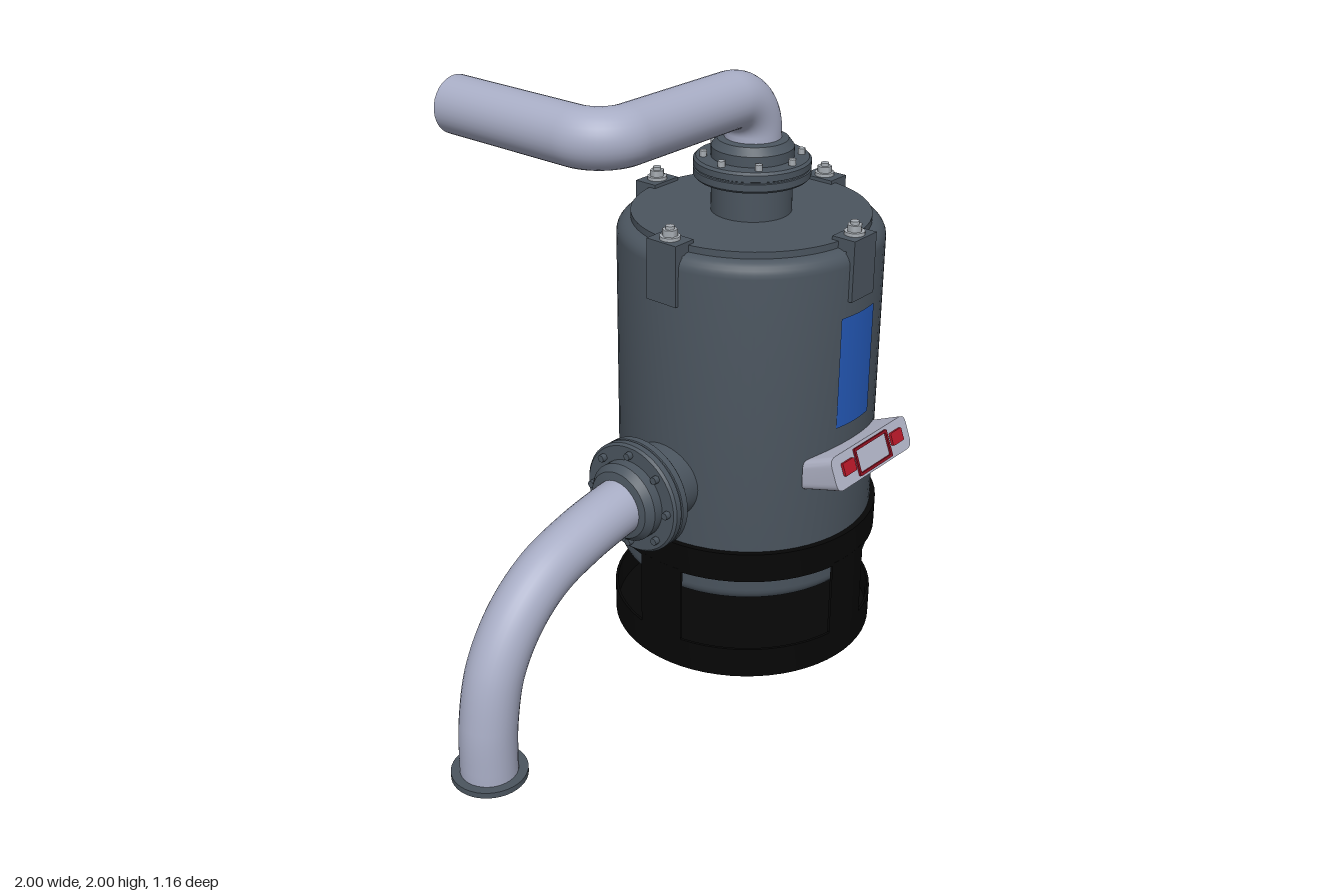
import * as THREE from 'three';
import { toCreasedNormals } from 'three/addons/utils/BufferGeometryUtils.js';

const V = (x, y, z) => new THREE.Vector3(x, y, z);
const CX = 0.387, CZ = 0.035; // tank axis

export function createModel() {
  const mat = (name, color, side = THREE.FrontSide) => {
    const m = new THREE.MeshStandardMaterial({ color, side });
    m.name = name;
    return m;
  };
  const steel = mat('slate steel', 0x4b555f);
  const pipeMat = mat('pale pipe', 0xa8adc5, THREE.DoubleSide);
  const shell = mat('pale casing', 0xb2b5c8);
  const black = mat('black', 0x060606, THREE.DoubleSide);
  const blue = mat('blue', 0x2459b8, THREE.DoubleSide);
  const red = mat('red', 0xb51828);
  const darkRed = mat('dark red', 0x8e1020);
  const boltMat = mat('bolt metal', 0xaab0b6);

  const model = new THREE.Group();
  model.name = 'tankFilter';
  const add = (parent, name, geo, material, x = 0, y = 0, z = 0) => {
    const m = new THREE.Mesh(geo, material);
    m.name = name;
    m.position.set(x, y, z);
    parent.add(m);
    return m;
  };
  const group = (parent, name, x = 0, y = 0, z = 0) => {
    const g = new THREE.Group();
    g.name = name;
    g.position.set(x, y, z);
    parent.add(g);
    return g;
  };
  const lathe = (pts, seg = 64, start = 0, len = Math.PI * 2) => toCreasedNormals(
    new THREE.LatheGeometry(pts.map(p => new THREE.Vector2(...p)), seg, start, len), 0.6);
  // hollow ring section between two radii
  const ring = (r0, r1, y0, y1, seg, start, len) =>
    lathe([[r0, y0], [r1, y0], [r1, y1], [r0, y1], [r0, y0]], seg, start, len);

  // Tank with rounded shoulders and a raised lid
  const tank = group(model, 'tank', CX, 0, CZ);
  const R = 0.439, c = 0.05, profile = [[0, 0.285]];
  for (let i = 0; i <= 6; i++) {
    const a = (i / 6) * Math.PI / 2;
    profile.push([R - c + c * Math.sin(a), 0.285 + c - c * Math.cos(a)]);
  }
  for (let i = 0; i <= 6; i++) {
    const a = (i / 6) * Math.PI / 2;
    profile.push([R - c + c * Math.cos(a), 1.498 - c + c * Math.sin(a)]);
  }
  profile.push([0, 1.498]);
  add(tank, 'tankBody', lathe(profile), steel);
  add(tank, 'lid', new THREE.CylinderGeometry(0.392, 0.392, 0.03, 64), steel, 0, 1.505, 0);

  // Base: two bands, four posts and a floor
  const base = group(tank, 'base');
  add(base, 'lowerBand', ring(0.449, 0.458, 0, 0.11), black);
  add(base, 'upperBand', ring(0.437, 0.458, 0.38, 0.485), black);
  add(base, 'floor', new THREE.CylinderGeometry(0.45, 0.45, 0.01, 64), black, 0, 0.006, 0);
  const half = Math.asin(0.0885 / 0.458);
  for (let i = 0; i < 4; i++)
    add(base, 'post', ring(0.449, 0.458, 0.1, 0.39, 8, i * Math.PI / 2 - half, half * 2), black);

  // Four lid clamps with bolts
  for (let i = 0; i < 4; i++) {
    const clamp = group(tank, 'lidClamp');
    clamp.rotation.y = i * Math.PI / 2;
    add(clamp, 'clampPlate', new THREE.BoxGeometry(0.118, 0.2, 0.03), steel, 0, 1.43, 0.433);
    add(clamp, 'clampTop', new THREE.BoxGeometry(0.118, 0.04, 0.085), steel, 0, 1.512, 0.4055);
    add(clamp, 'washer', new THREE.CylinderGeometry(0.033, 0.033, 0.012, 20), boltMat, 0, 1.537, 0.405);
    add(clamp, 'nut', new THREE.CylinderGeometry(0.025, 0.025, 0.022, 6), boltMat, 0, 1.553, 0.405);
    add(clamp, 'stud', new THREE.CylinderGeometry(0.014, 0.014, 0.03, 12), boltMat, 0, 1.56, 0.405);
  }

  // Bolted flange joint, growing along +y
  const flangeJoint = (name, x, y, z, headMat) => {
    const g = group(model, name, x, y, z);
    add(g, 'flange', lathe([
      [0.132, -0.03], [0.132, 0.123], [0.182, 0.123], [0.19, 0.131], [0.19, 0.154], [0.186, 0.156],
      [0.186, 0.16], [0.19, 0.162], [0.19, 0.183], [0.182, 0.191], [0.134, 0.191],
      [0.134, 0.225], [0.115, 0.25], [0.088, 0.255],
    ], 48), steel);
    for (let i = 0; i < 8; i++) {
      const a = i * Math.PI / 4, bx = 0.158 * Math.cos(a), bz = 0.158 * Math.sin(a);
      add(g, 'boltHead', new THREE.CylinderGeometry(0.013, 0.013, 0.02, 6), headMat, bx, 0.2, bz);
    }
    return g;
  };
  flangeJoint('topFlange', CX, 1.51, CZ, boltMat);
  flangeJoint('sideFlange', -0.02, 0.697, CZ, steel).rotation.z = Math.PI / 2;

  // Upper pipe: straight runs joined by round bends
  const corners = [V(CX, 1.7, CZ), V(CX, 1.905, CZ), V(-0.313, 1.905, CZ), V(-0.313, 1.905, -0.576)];
  const bends = [0, 0.125, 0.11];
  const path = new THREE.CurvePath();
  let from = corners[0];
  for (let i = 1; i < 3; i++) {
    const p = corners[i], r = bends[i];
    const inDir = p.clone().sub(corners[i - 1]).normalize();
    const outDir = corners[i + 1].clone().sub(p).normalize();
    const a = p.clone().addScaledVector(inDir, -r), b = p.clone().addScaledVector(outDir, r);
    path.add(new THREE.LineCurve3(from, a));
    path.add(new THREE.CubicBezierCurve3(a, a.clone().addScaledVector(inDir, r * 0.55),
      b.clone().addScaledVector(outDir, -r * 0.55), b));
    from = b;
  }
  path.add(new THREE.LineCurve3(from, corners[3]));
  add(model, 'upperPipe', new THREE.TubeGeometry(path, 120, 0.092, 32), pipeMat);

  // Lower pipe sweeping down to the ground, with its foot flange
  const sweep = new THREE.CatmullRomCurve3([
    V(-0.2, 0.697, CZ), V(-0.29, 0.69, CZ), V(-0.45, 0.661, CZ), V(-0.615, 0.605, CZ), V(-0.742, 0.506, CZ),
    V(-0.832, 0.366, CZ), V(-0.872, 0.195, CZ), V(-0.88, 0.06, CZ), V(-0.88, 0.002, CZ),
  ]);
  add(model, 'lowerPipe', new THREE.TubeGeometry(sweep, 64, 0.092, 32), pipeMat);
  add(model, 'footFlange', ring(0.088, 0.121, 0, 0.02, 40), steel, -0.879, 0, CZ);

  // Side canister held by two straps
  const canister = group(model, 'sideCanister', 0.92, 0, CZ);
  add(canister, 'canisterBody', new THREE.CylinderGeometry(0.073, 0.073, 0.785, 40), steel, 0, 0.826, 0);
  const strapOutline = (shape, r, x0) => {
    shape.moveTo(x0, -r);
    shape.lineTo(0, -r);
    shape.absarc(0, 0, r, -Math.PI / 2, Math.PI / 2, false);
    shape.lineTo(x0, r);
    shape.closePath();
    return shape;
  };
  const strap = strapOutline(new THREE.Shape(), 0.079, -0.115);
  strap.holes.push(strapOutline(new THREE.Path(), 0.073, -0.108));
  const strapGeo = toCreasedNormals(
    new THREE.ExtrudeGeometry(strap, { depth: 0.083, bevelEnabled: false, curveSegments: 20 }), 0.5);
  for (const y of [0.5, 1.05])
    add(canister, 'strap', strapGeo, black, 0, y, 0).rotation.x = -Math.PI / 2;

  // Blue panel wrapped on the tank front
  add(tank, 'bluePanel', new THREE.CylinderGeometry(0.443, 0.443, 0.385, 12, 1, true, -0.2, 0.4),
    blue, 0, 1.088, 0);

  // Tilted control box with display and buttons
  const tilt = -0.36;
  const box = group(model, 'controlBox', CX - 0.002, 0.803, 0.556);
  box.rotation.x = tilt;
  const roundedRect = (shape, w, h, r) => {
    const x = w / 2, y = h / 2;
    shape.moveTo(-x + r, -y);
    shape.lineTo(x - r, -y);
    shape.quadraticCurveTo(x, -y, x, -y + r);
    shape.lineTo(x, y - r);
    shape.quadraticCurveTo(x, y, x - r, y);
    shape.lineTo(-x + r, y);
    shape.quadraticCurveTo(-x, y, -x, y - r);
    shape.lineTo(-x, -y + r);
    shape.quadraticCurveTo(-x, -y, -x + r, -y);
    return shape;
  };
  const extrude = (shape, depth) =>
    new THREE.ExtrudeGeometry(shape, { depth, bevelEnabled: false, curveSegments: 6 });
  // casing tapers to an upright back against the tank
  const casing = extrude(roundedRect(new THREE.Shape(), 0.422, 0.115, 0.03), 0.14).translate(0, 0, -0.14);
  const pos = casing.attributes.position;
  for (let i = 0; i < pos.count; i++) {
    if (pos.getZ(i) > -0.07) continue;
    const y = pos.getY(i) * 0.88;
    pos.setXYZ(i, pos.getX(i) * 0.97, y, (-0.128 - y * Math.sin(tilt)) / Math.cos(tilt));
  }
  add(box, 'casing', toCreasedNormals(casing, 0.5), shell);
  const frame = roundedRect(new THREE.Shape(), 0.185, 0.094, 0.004);
  frame.holes.push(roundedRect(new THREE.Path(), 0.167, 0.076, 0.004));
  add(box, 'displayFrame', extrude(frame, 0.007), darkRed, 0.002, 0, 0);
  for (const s of [-1, 1])
    add(box, 'button', extrude(roundedRect(new THREE.Shape(), 0.062, 0.044, 0.006), 0.009),
      red, s * 0.136 + 0.002, 0.004, 0);

  return model;
}
